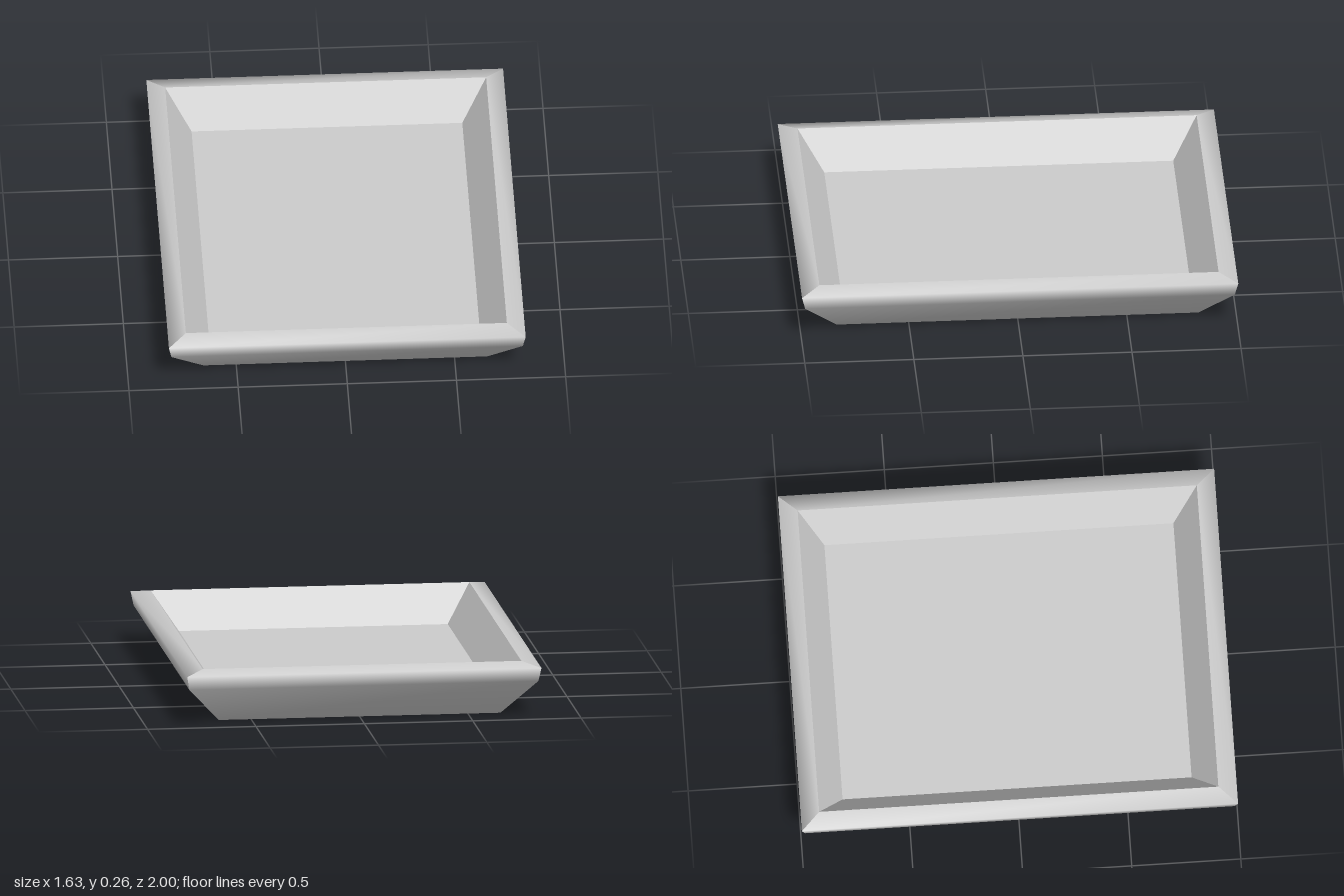
import * as THREE from 'three';
import { mergeGeometries } from 'three/addons/utils/BufferGeometryUtils.js';

// Corner signs, counter-clockwise seen from above
const CORNERS = [[1, 1], [1, -1], [-1, -1], [-1, 1]];
const corner = (i, [hx, hz, y]) => [CORNERS[i % 4][0] * hx, y, CORNERS[i % 4][1] * hz];

function indexed(points, index) {
  const g = new THREE.BufferGeometry();
  g.setAttribute('position', new THREE.Float32BufferAttribute(points.flat(), 3));
  g.setIndex(index);
  g.computeVertexNormals();
  return g;
}

// Four mitred sides following a list of rectangles; smooth along the profile, sharp at corners
function mitredSides(rings) {
  const sides = CORNERS.map((_, i) => {
    const points = [], index = [];
    rings.forEach((ring, r) => {
      points.push(corner(i, ring), corner(i + 1, ring));
      if (r > 0) {
        const a = 2 * r - 2;
        index.push(a, a + 1, a + 3, a, a + 3, a + 2);
      }
    });
    return indexed(points, index);
  });
  return mergeGeometries(sides);
}

// Flat rectangle facing up or down
function panel(ring, up) {
  return indexed(CORNERS.map((_, i) => corner(i, ring)), up ? [0, 1, 2, 0, 2, 3] : [0, 2, 1, 0, 3, 2]);
}

export function createModel() {
  const group = new THREE.Group();
  group.name = 'tray';
  const grey = new THREE.MeshStandardMaterial({ color: 0xcccccc });
  grey.name = 'light grey';

  // Rectangles: half width, half depth, height
  const base = [0.65, 0.83, 0];
  const shoulder = [0.805, 0.985, 0.175];
  const edge = [0.817, 1, 0.238];
  const lip = [0.735, 0.915, 0.257];
  const floor = [0.62, 0.8, 0.087];

  const add = (name, geometry) => {
    const mesh = new THREE.Mesh(geometry, grey);
    mesh.name = name;
    group.add(mesh);
  };

  add('outerWallsAndRim', mitredSides([base, shoulder, edge, lip]));
  add('innerWalls', mitredSides([lip, floor]));
  add('trayFloor', panel(floor, true));
  add('underside', panel(base, false));
  return group;
}
